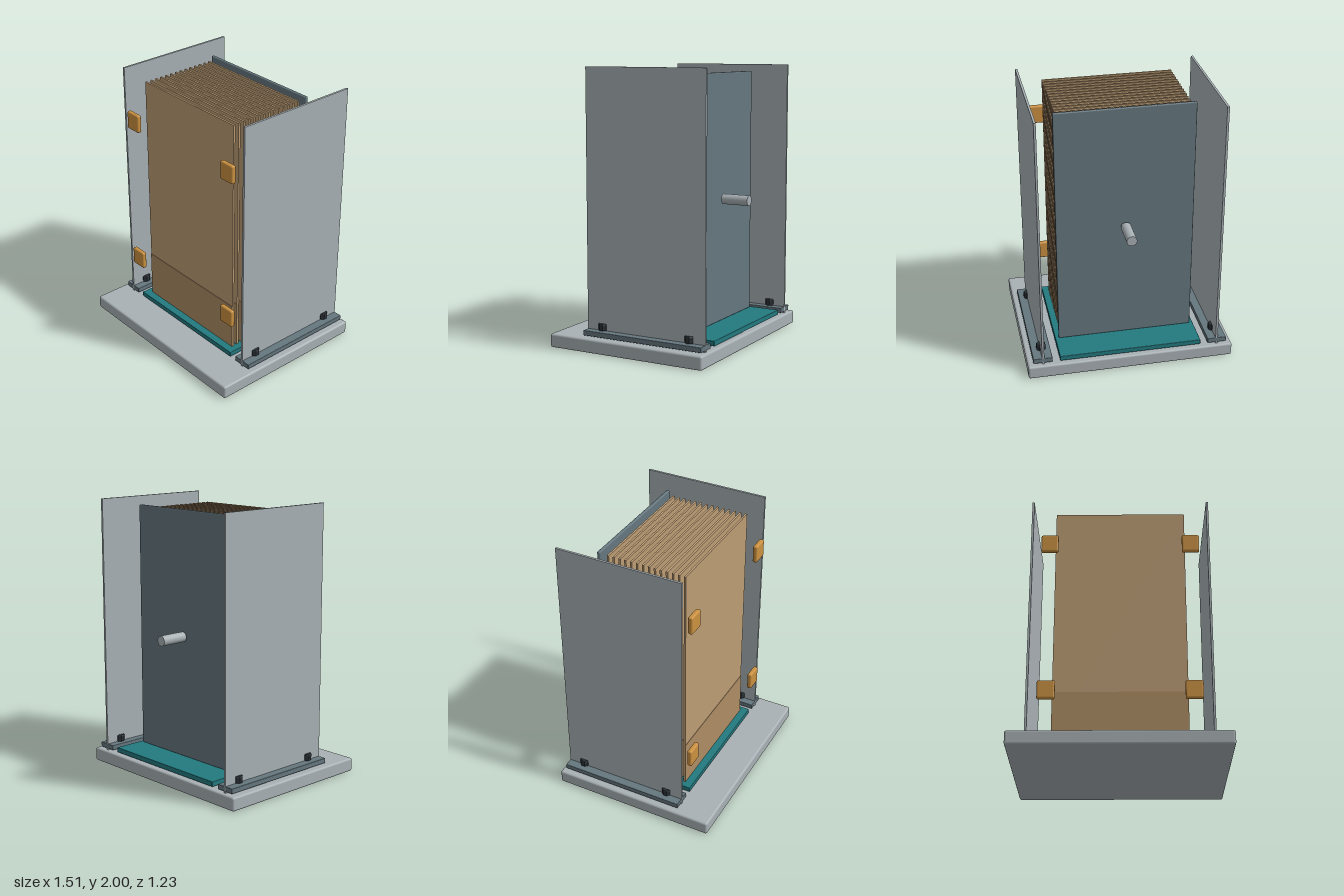
import * as THREE from 'three';
import { RoundedBoxGeometry } from 'three/addons/geometries/RoundedBoxGeometry.js';

const paint = (color) => new THREE.MeshStandardMaterial({ color });
const steel = paint(0xa9b1b5), slate = paint(0x65777f), teal = paint(0x227a80);
const amber = paint(0xcb9140), dark = paint(0x2b3238);
const board = paint(0xbd9d75), fold = paint(0xae8d64);

// Box given by its lower and upper limits on each axis, optionally rounded.
function slab(parent, name, material, [x0, x1], [y0, y1], [z0, z1], radius = 0) {
  const size = [x1 - x0, y1 - y0, z1 - z0];
  const geometry = radius
    ? new RoundedBoxGeometry(...size, 3, radius)
    : new THREE.BoxGeometry(...size);
  const mesh = new THREE.Mesh(geometry, material);
  mesh.name = name;
  mesh.position.set((x0 + x1) / 2, (y0 + y1) / 2, (z0 + z1) / 2);
  parent.add(mesh);
  return mesh;
}

export function createModel() {
  const model = new THREE.Group();
  model.name = 'cartonMagazine';

  // Base plate and feed bed
  slab(model, 'base', steel, [-0.757, 0.757], [0, 0.1], [-0.615, 0.615], 0.015);
  slab(model, 'feedBed', teal, [-0.522, 0.522], [0.111, 0.148], [-0.588, 0.357], 0.004);

  // Stack of flat cartons, each with a folded lower flap on its front
  const stack = new THREE.Group();
  stack.name = 'cartonStack';
  model.add(stack);
  const count = 14;
  for (let i = 0; i < count; i++) {
    const z = -0.29 + (0.58 * i) / (count - 1);
    slab(stack, 'carton', board, [-0.474, 0.474], [0.148, 1.93], [z - 0.009, z + 0.006]);
    slab(stack, 'cartonFlap', fold, [-0.474, 0.474], [0.148, 0.498], [z + 0.006, z + 0.009]);
  }

  // Pusher plate and its rod behind the stack
  slab(model, 'pusherPlate', slate, [-0.497, 0.497], [0.148, 1.953], [-0.362, -0.338], 0.008);
  const rod = new THREE.Mesh(new THREE.CylinderGeometry(0.037, 0.037, 0.205, 32), steel);
  rod.name = 'pusherRod';
  rod.rotation.x = Math.PI / 2;
  rod.position.set(0, 1.05, -0.487);
  model.add(rod);

  // Bevelled clamp knob
  const knobProfile = [[0, 0], [0.031, 0], [0.035, 0.006], [0.035, 0.044], [0.031, 0.05], [0, 0.05]]
    .map(([r, y]) => new THREE.Vector2(r, y));
  const knobGeometry = new THREE.LatheGeometry(knobProfile, 8, Math.PI / 8).toNonIndexed();
  knobGeometry.computeVertexNormals();

  // Side guides with rails, knobs and retaining clips, mirrored
  for (const side of [-1, 1]) {
    const guide = new THREE.Group();
    guide.name = side > 0 ? 'leftGuide' : 'rightGuide';
    model.add(guide);
    const span = (a, b) => (side > 0 ? [a, b] : [-b, -a]);
    slab(guide, 'sidePlate', steel, span(0.637, 0.653), [0.1, 2], [-0.588, 0.357]);
    slab(guide, 'rail', slate, span(0.577, 0.717), [0.111, 0.148], [-0.588, 0.357], 0.004);
    for (const z of [-0.463, 0.233]) {
      const knob = new THREE.Mesh(knobGeometry, dark);
      knob.name = 'clampKnob';
      knob.position.set(side * 0.645, 0.147, z);
      guide.add(knob);
    }
    for (const y of [0.413, 1.563]) {
      slab(guide, 'retainingClip', amber, span(0.449, 0.574), [y, y + 0.135], [0.36, 0.396], 0.012);
    }
  }
  return model;
}
